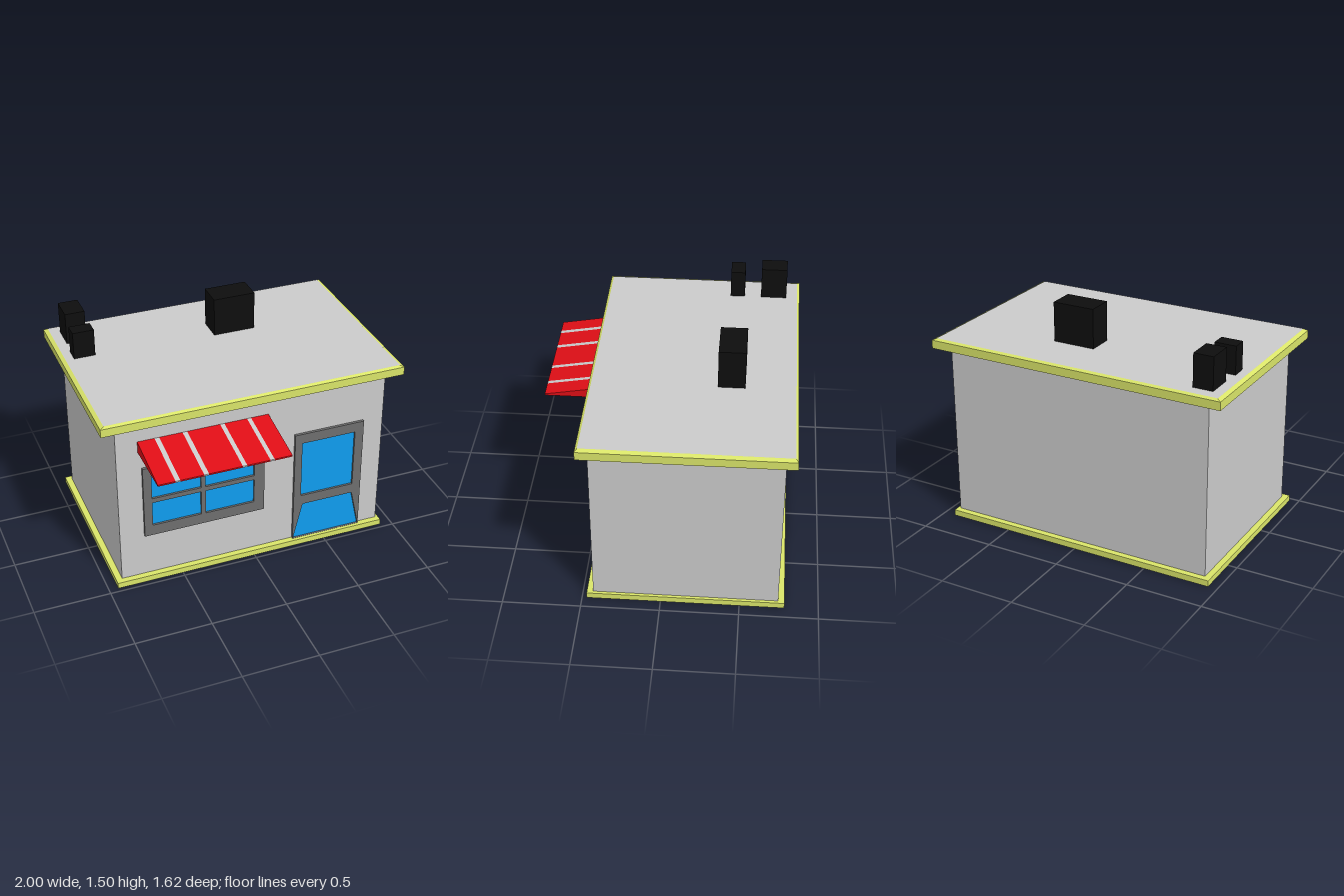
import * as THREE from 'three';

const paint = (color) => new THREE.MeshStandardMaterial({ color, flatShading: true, side: THREE.DoubleSide });
const GREY = paint(0xcccccc), LIME = paint(0xdae569), RED = paint(0xe00e16);
const FRAME = paint(0x6e6e6e), BLUE = paint(0x109df0), BLACK = paint(0x0e0e0e);

// Closed outline from [x, y] pairs, with optional holes
function outline(points, holes = []) {
  const shape = new THREE.Shape(points.map(([x, y]) => new THREE.Vector2(x, y)));
  holes.forEach((h) => shape.holes.push(new THREE.Path(h.map(([x, y]) => new THREE.Vector2(x, y)))));
  return shape;
}
const rect = (x0, x1, y0, y1) => [[x0, y0], [x1, y0], [x1, y1], [x0, y1]];
const extrude = (shape, depth) => new THREE.ExtrudeGeometry(shape, { depth, bevelEnabled: false });

export function createModel() {
  const model = new THREE.Group();
  const add = (parent, name, geometry, material) => {
    const mesh = new THREE.Mesh(geometry, material);
    mesh.name = name;
    parent.add(mesh);
    return mesh;
  };
  const group = (name) => {
    const g = new THREE.Group();
    g.name = name;
    model.add(g);
    return g;
  };
  const block = (x0, x1, y0, y1, z0, z1) =>
    new THREE.BoxGeometry(x1 - x0, y1 - y0, z1 - z0).translate((x0 + x1) / 2, (y0 + y1) / 2, (z0 + z1) / 2);

  const W = 0.9, FRONT = 0.43, BACK = -0.745, Y0 = 0.04, Y1 = 1.18;

  // Base trim: a ring around the open floor
  const ring = extrude(outline(rect(-0.94, 0.92, -0.47, 0.785), [rect(-W, 0.8, -FRONT, -BACK)]), Y0);
  add(model, 'baseTrim', ring.rotateX(-Math.PI / 2), LIME);

  // Walls: the front one is cut out behind the window and the door
  const walls = group('walls');
  const windowRect = rect(-0.74, 0.07, 0.345, 0.86);
  const doorRect = rect(0.28, 0.76, Y0, 0.86);
  const frontOutline = [[-W, Y0], [0.28, Y0], [0.28, 0.86], [0.76, 0.86], [0.76, Y0], [W, Y0], [W, Y1], [-W, Y1]];
  add(walls, 'frontWall', new THREE.ShapeGeometry(outline(frontOutline, [windowRect])).translate(0, 0, FRONT), GREY);
  const midY = (Y0 + Y1) / 2, midZ = (FRONT + BACK) / 2;
  add(walls, 'backWall', new THREE.PlaneGeometry(2 * W, Y1 - Y0).rotateY(Math.PI).translate(0, midY, BACK), GREY);
  for (const [side, name] of [[1, 'leftWall'], [-1, 'rightWall']]) {
    const g = new THREE.PlaneGeometry(FRONT - BACK, Y1 - Y0).rotateY((side * Math.PI) / 2);
    add(walls, name, g.translate(side * W, midY, midZ), GREY);
  }

  // Roof: trim slab, sloped rim and grey deck
  const roof = group('roof');
  add(roof, 'roofTrim', block(-1, 1, Y1, 1.235, -0.81, 0.49), LIME);
  const rim = block(-1, 1, 1.235, 1.245, -0.81, 0.49);
  const p = rim.attributes.position;
  for (let i = 0; i < p.count; i++) {
    if (p.getY(i) < 1.24) continue;
    p.setX(i, Math.sign(p.getX(i)) * 0.975);
    p.setZ(i, p.getZ(i) > 0 ? 0.474 : -0.794);
  }
  rim.computeVertexNormals();
  add(roof, 'roofRim', rim, LIME);
  const deck = new THREE.PlaneGeometry(1.95, 1.268).rotateX(-Math.PI / 2);
  add(roof, 'roofDeck', deck.translate(0, 1.247, -0.16), GREY);

  // Roof boxes: x0, x1, top, z0, z1
  const units = group('roofUnits');
  for (const [x0, x1, top, z0, z1] of [
    [0.02, 0.3, 1.505, -0.48, -0.31],
    [-0.91, -0.78, 1.46, -0.72, -0.55],
    [-0.92, -0.78, 1.43, -0.44, -0.345],
  ]) add(units, 'roofUnit', block(x0, x1, 1.24, top, z0, z1), BLACK);

  // Window and door: frame with openings, glass set slightly back
  const opening = (name, outer, panes) => {
    const g = group(name);
    add(g, name + 'Frame', extrude(outline(outer, panes), 0.018).translate(0, 0, FRONT), FRAME);
    panes.forEach((pane) =>
      add(g, name + 'Pane', new THREE.ShapeGeometry(outline(pane)).translate(0, 0, FRONT + 0.004), BLUE));
  };
  const windowPanes = [];
  for (const [x0, x1] of [[-0.685, -0.36], [-0.33, 0]])
    for (const [y0, y1] of [[0.42, 0.593], [0.625, 0.797]]) windowPanes.push(rect(x0, x1, y0, y1));
  opening('window', windowRect, windowPanes);
  const lowerPanel = [[0.282, Y0 + 0.001], [0.758, Y0 + 0.001], [0.7, 0.31], [0.345, 0.31]];
  opening('door', doorRect, [rect(0.33, 0.7, 0.38, 0.79), lowerPanel]);

  // Awning: wedge slices, red with narrow grey stripes
  const awning = group('awning');
  const edges = [-0.76, -0.65, -0.62, -0.47, -0.44, -0.225, -0.197, -0.047, -0.02, 0.097];
  const wedge = outline([[FRONT, 0.98], [0.81, 0.98], [0.81, 0.99], [FRONT, 1.057]]);
  for (let i = 0; i < edges.length - 1; i++) {
    const slice = extrude(wedge, edges[i + 1] - edges[i]);
    // profile drawn in z and y, swept along x
    slice.rotateY(-Math.PI / 2).translate(edges[i + 1], 0, 0);
    add(awning, i % 2 ? 'awningStripe' : 'awningPanel', slice, i % 2 ? GREY : RED);
  }
  return model;
}
